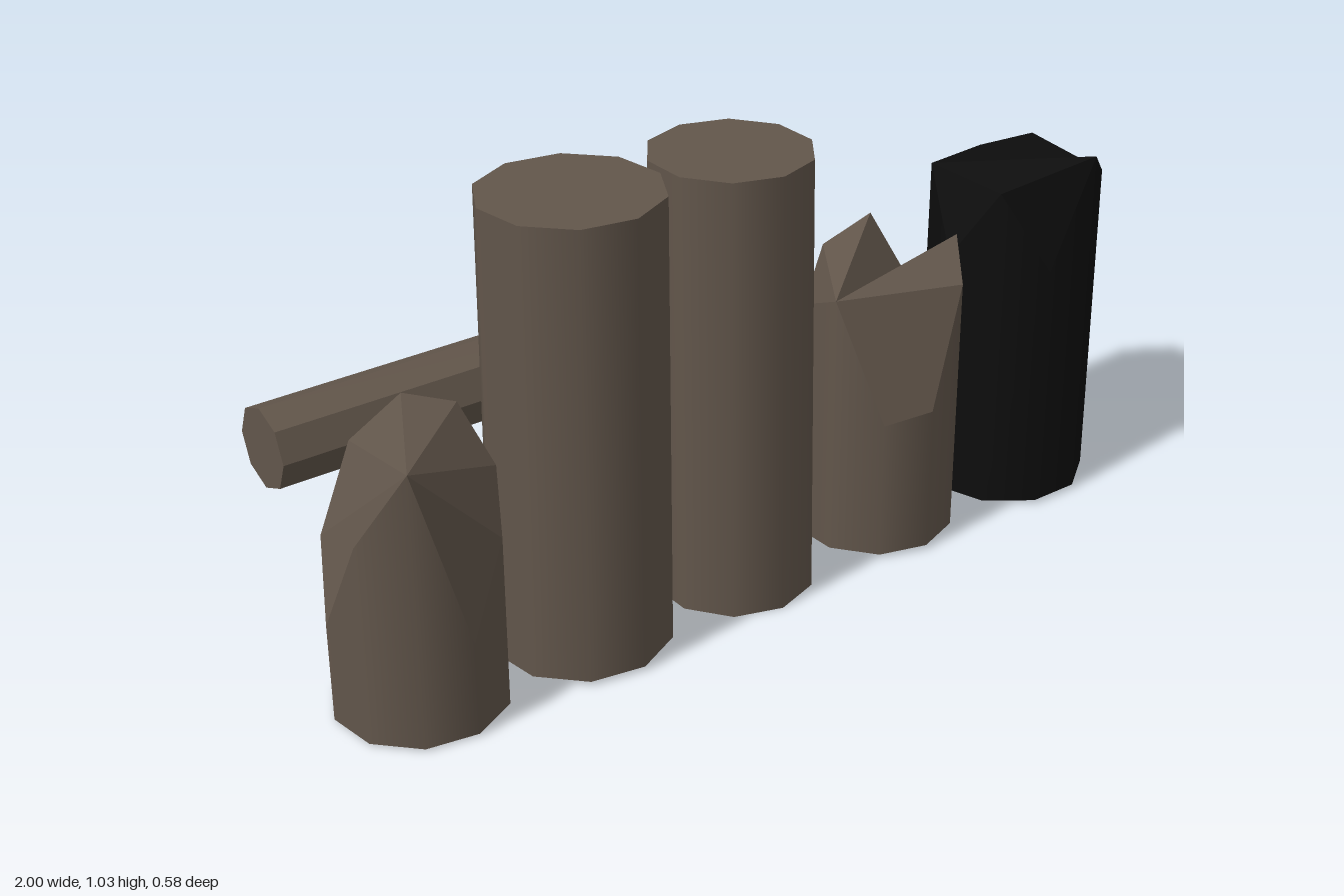
import * as THREE from 'three';

const SIDES = 10;

// Fan of triangles over a ring, all sharing the corner "from"
function fan(from, ring = [...Array(SIDES).keys()]) {
  const n = ring.length, start = ring.indexOf(from), tris = [];
  for (let i = 1; i < n - 1; i++) {
    tris.push([from, ring[(start + i) % n], ring[(start + i + 1) % n]]);
  }
  return tris;
}

// Ten-sided log: smooth bark, faceted ends, one top height per corner
function logGeometry({ r, turn, base, heights, cap, lean = 0, taper = 1 }) {
  const pos = [], nor = [];
  const corner = (i, top) => {
    const a = THREE.MathUtils.degToRad(turn + i * 360 / SIDES);
    const y = top ? heights[i % SIDES] : base;
    const k = r * (1 + (taper - 1) * y);
    return new THREE.Vector3(Math.cos(a) * k + lean * y, y, Math.sin(a) * k);
  };
  const flatTri = (a, b, c) => {
    const n = b.clone().sub(a).cross(c.clone().sub(a)).normalize();
    for (const p of [a, b, c]) { pos.push(...p); nor.push(...n); }
  };
  for (let i = 0; i < SIDES; i++) {
    for (const [k, top] of [[i, 0], [i, 1], [i + 1, 0], [i, 1], [i + 1, 1], [i + 1, 0]]) {
      const a = THREE.MathUtils.degToRad(turn + k * 360 / SIDES);
      pos.push(...corner(k, top));
      nor.push(Math.cos(a), 0, Math.sin(a));
    }
  }
  for (const [a, b, c] of cap) flatTri(corner(a, 1), corner(c, 1), corner(b, 1));
  for (const [a, b, c] of fan(0)) flatTri(corner(a, 0), corner(b, 0), corner(c, 0));
  const g = new THREE.BufferGeometry();
  g.setAttribute('position', new THREE.Float32BufferAttribute(pos, 3));
  g.setAttribute('normal', new THREE.Float32BufferAttribute(nor, 3));
  return g;
}

export function createModel() {
  const wood = new THREE.MeshStandardMaterial({ color: 0x62564b });
  wood.name = 'weathered wood';
  const charred = new THREE.MeshStandardMaterial({ color: 0x0d0d0d });
  charred.name = 'charred wood';

  const group = new THREE.Group();
  group.name = 'brokenPalisade';
  const level = h => Array(SIDES).fill(h);

  const posts = [
    // Split post with a notch at the front and at the outer side
    { name: 'splitPostRight', x: -0.815, r: 0.187, turn: 10, base: 0.005, mat: wood,
      heights: [0.5, 0.4, 0.22, 0.63, 0.46, 0.23, 0.37, 0.53, 0.61, 0.6], cap: fan(3) },
    // Two whole posts
    { name: 'tallPostRight', x: -0.42, r: 0.2, turn: 10, base: 0.01, mat: wood,
      heights: level(1.027), cap: fan(0), lean: 0.004, taper: 0.98 },
    { name: 'tallPostCentre', x: -0.013, r: 0.184, turn: 18, base: 0, mat: wood,
      heights: level(1.017), cap: fan(0), lean: -0.009, taper: 0.97 },
    // Splintered post
    { name: 'splitPostLeft', x: 0.393, r: 0.188, turn: 16, base: 0.01, mat: wood,
      heights: [0.69, 0.62, 0.355, 0.34, 0.63, 0.58, 0.46, 0.63, 0.69, 0.5], cap: fan(4) },
    // Burnt post with a jagged crown: notches first, then the ridge between the tips
    { name: 'charredPost', x: 0.8, r: 0.2, turn: 0, base: 0.01, mat: charred,
      heights: [0.55, 0.77, 0.85, 0.6, 0.79, 0.61, 0.79, 0.6, 0.76, 0.79],
      cap: [[9, 0, 1], [2, 3, 4], [4, 5, 6], [6, 7, 8], ...fan(6, [1, 2, 4, 6, 8, 9])],
      taper: 0.97 },
  ];
  for (const p of posts) {
    const post = new THREE.Mesh(logGeometry(p), p.mat);
    post.name = p.name;
    post.position.set(p.x, 0, 0.09);
    group.add(post);
  }

  // Eight-sided cross rail behind the posts
  const railGeometry = new THREE.CylinderGeometry(0.091, 0.091, 1.04, 8).toNonIndexed();
  railGeometry.computeVertexNormals();
  const rail = new THREE.Mesh(railGeometry, wood);
  rail.name = 'crossRail';
  rail.rotation.z = Math.PI / 2;
  rail.position.set(-0.46, 0.511, -0.2);
  group.add(rail);

  return group;
}
